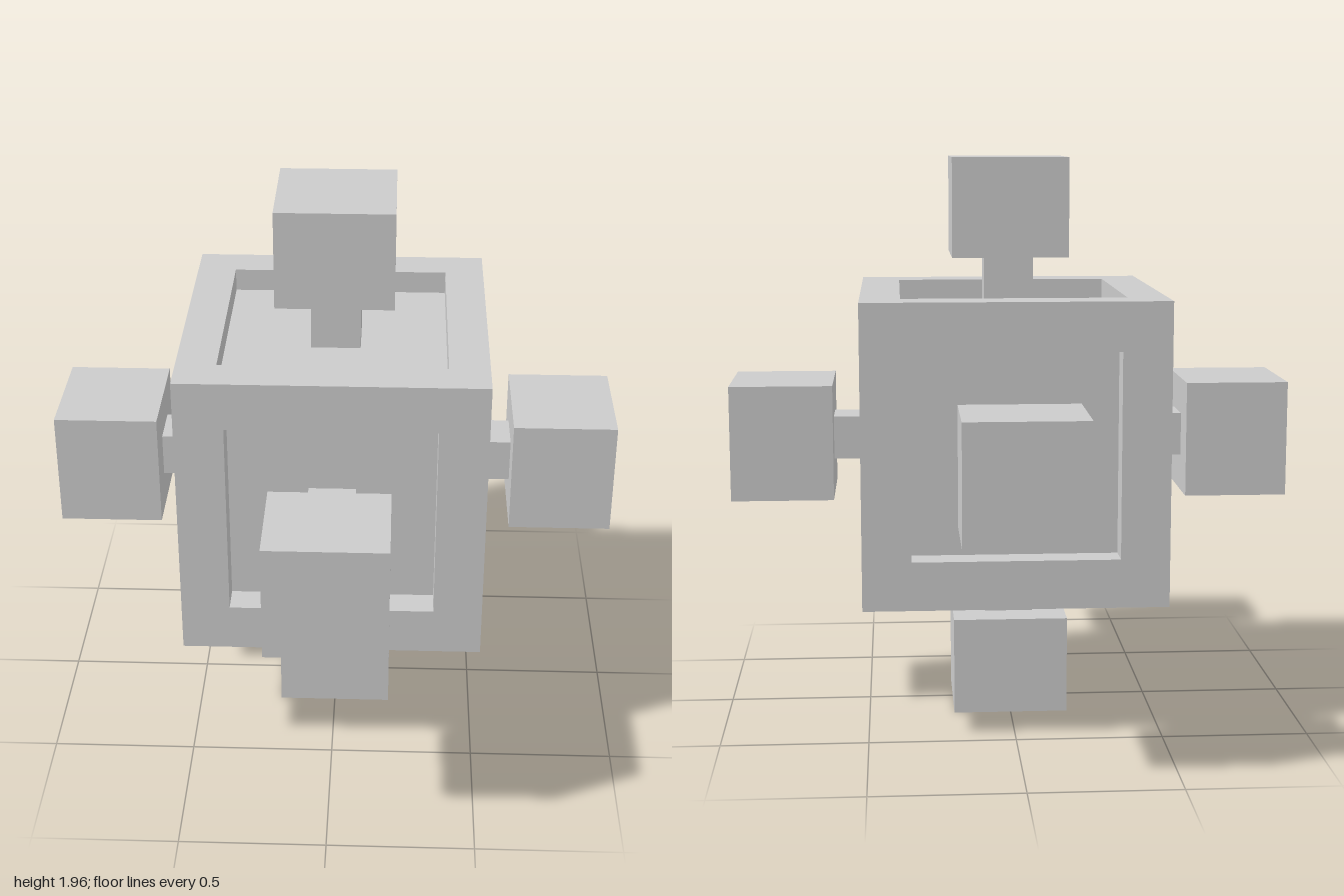
import * as THREE from 'three';

const material = new THREE.MeshStandardMaterial({ color: 0xcccccc, flatShading: true });
const HALF = 0.516;      // half the body's edge
const CENTRE_Y = 0.9775; // height of the body's centre

function box(name, w, h, z0, z1) {
  const mesh = new THREE.Mesh(new THREE.BoxGeometry(w, h, z1 - z0), material);
  mesh.position.z = (z0 + z1) / 2;
  mesh.name = name;
  return mesh;
}

// One body side facing +z: flat rim, recess walls and recess floor, from square rings
function recessedFace(opening, depth) {
  const ring = (s, z) => [[-s, -s, z], [s, -s, z], [s, s, z], [-s, s, z]];
  const rings = [ring(HALF, HALF), ring(opening, HALF), ring(opening, HALF - depth)];
  const points = [];
  const quad = (a, b, c, d) => points.push(...a, ...b, ...c, ...a, ...c, ...d);
  for (let r = 0; r < 2; r++) {
    for (let i = 0; i < 4; i++) {
      const j = (i + 1) % 4;
      quad(rings[r][i], rings[r][j], rings[r + 1][j], rings[r + 1][i]);
    }
  }
  quad(...rings[2]);
  const geometry = new THREE.BufferGeometry();
  geometry.setAttribute('position', new THREE.Float32BufferAttribute(points, 3));
  geometry.computeVertexNormals();
  const mesh = new THREE.Mesh(geometry, material);
  mesh.name = 'recessedFace';
  return mesh;
}

// Recessed face with a stem rising from its floor and a block on the end
function side(name, { opening, depth, stemW, stemH, start, end }, rx, ry) {
  const group = new THREE.Group();
  group.name = name;
  group.add(
    recessedFace(opening, depth),
    box('stem', stemW, stemH, HALF - depth, start),
    box('endBlock', 0.4, 0.4, start, end),
  );
  group.rotation.set(rx, ry, 0);
  return group;
}

export function createModel() {
  const model = new THREE.Group();
  model.name = 'cubeWithArms';
  const body = new THREE.Group();
  body.name = 'body';
  body.position.y = CENTRE_Y;
  model.add(body);

  const alongZ = { opening: 0.35, depth: 0.1, stemW: 0.16, stemH: 0.15, start: 0.65, end: 1 };
  const alongX = { opening: 0.35, depth: 0.08, stemW: 0.16, stemH: 0.15, start: 0.615, end: 0.97 };
  const alongY = { opening: 0.38, depth: 0.08, stemW: 0.17, stemH: 0.16, start: 0.6375, end: CENTRE_Y };
  const q = Math.PI / 2;

  body.add(
    side('frontSide', alongZ, 0, 0),
    side('backSide', alongZ, 0, 2 * q),
    side('leftSide', alongX, 0, q),
    side('rightSide', alongX, 0, -q),
    side('topSide', alongY, -q, 0),
    side('bottomSide', alongY, q, 0),
  );
  return model;
}
